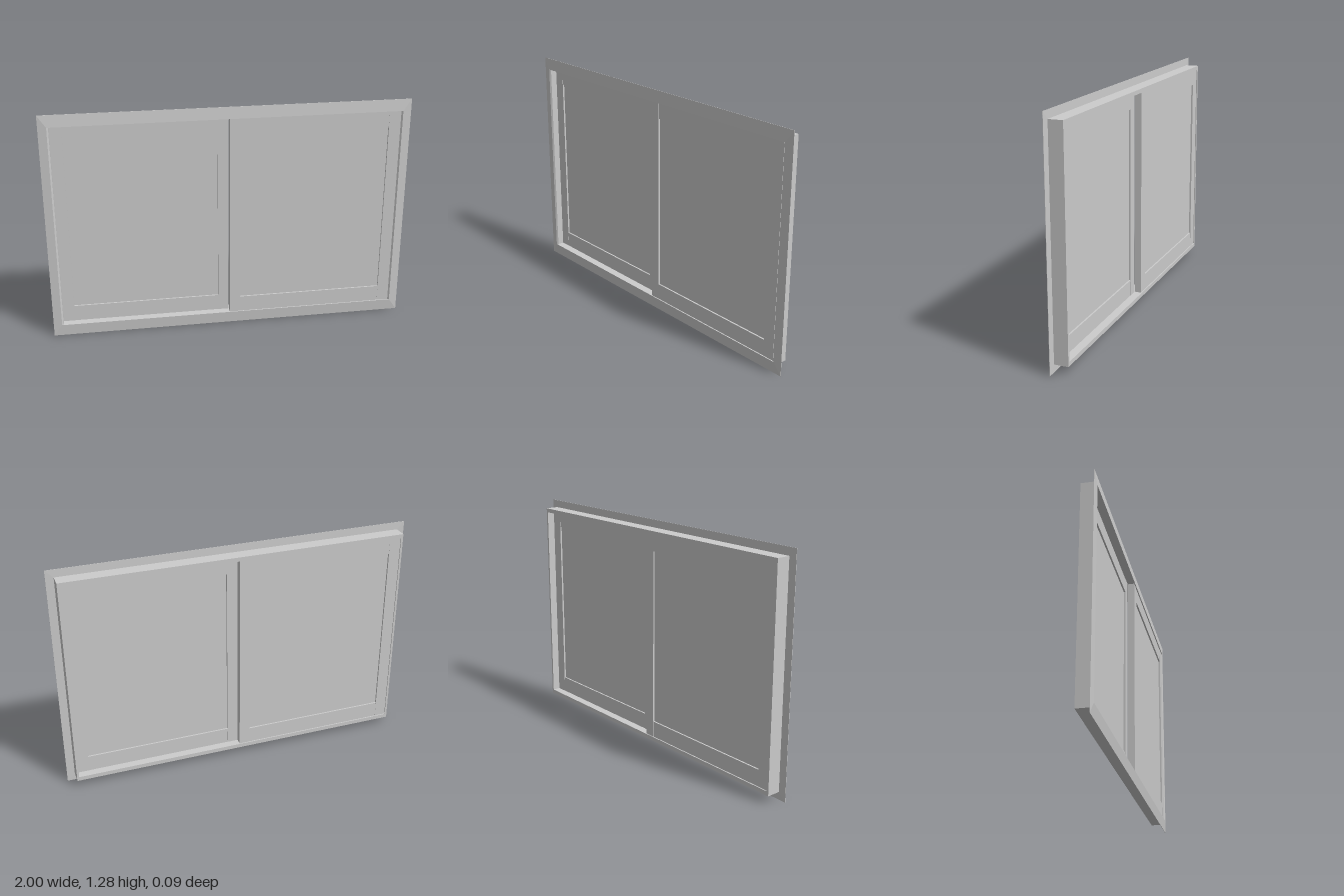
import * as THREE from 'three';

const MID_Y = 0.6425;
const grey = new THREE.MeshStandardMaterial({ color: 0xcccccc, flatShading: true, side: THREE.DoubleSide });

// Sweeps a closed profile of [half width, half height, z] around a mitred rectangle.
function mitredRing(profile) {
  const corners = [[1, 1], [-1, 1], [-1, -1], [1, -1]];
  const pos = [];
  for (let c = 0; c < 4; c++) {
    const at = (k, i) => {
      const [sx, sy] = corners[k % 4];
      const [w, h, z] = profile[i % profile.length];
      return [sx * w, sy * h, z];
    };
    for (let i = 0; i < profile.length; i++) {
      const a = at(c, i), b = at(c + 1, i), d = at(c + 1, i + 1), e = at(c, i + 1);
      pos.push(...a, ...b, ...d, ...a, ...d, ...e);
    }
  }
  const g = new THREE.BufferGeometry();
  g.setAttribute('position', new THREE.Float32BufferAttribute(pos, 3));
  g.computeVertexNormals();
  return g;
}

// Box between two corners, in x, y and z ranges.
function slab(name, [x0, x1], [y0, y1], [z0, z1]) {
  const m = new THREE.Mesh(new THREE.BoxGeometry(x1 - x0, y1 - y0, z1 - z0), grey);
  m.position.set((x0 + x1) / 2, (y0 + y1) / 2, (z0 + z1) / 2);
  m.name = name;
  return m;
}

// One sliding panel on the +x side, in the front track.
function makeSash(name) {
  const sash = new THREE.Group();
  sash.name = name;
  const y = [0.066, 1.219], z = [0.001, 0.038], railZ = [0.002, 0.037];
  sash.add(
    slab('meetingStile', [0, 0.06], y, z),
    slab('outerStile', [0.88, 0.945], y, z),
    slab('bottomRail', [0.06, 0.88], [y[0], 0.157], railZ),
    slab('topRail', [0.06, 0.88], [1.133, y[1]], railZ),
    slab('glass', [0.06, 0.88], [0.157, 1.133], [0.011, 0.028]),
  );
  return sash;
}

export function createModel() {
  const model = new THREE.Group();
  model.name = 'slidingWindow';

  // Outer frame with a thin tapering flange around its front
  const frame = new THREE.Mesh(mitredRing([
    [1, MID_Y, 0.037],
    [0.954, 0.577, 0.043],
    [0.945, 0.577, 0.036],
    [0.945, 0.577, -0.043],
    [0.957, 0.6, -0.043],
    [0.957, 0.6, 0.034],
    [1, MID_Y, 0.035],
  ].reverse()), grey);
  frame.name = 'frame';
  frame.position.y = MID_Y;
  model.add(frame);

  // Front sash, and its twin turned half round into the back track
  const backSash = makeSash('backSash');
  backSash.rotation.y = Math.PI;
  model.add(makeSash('frontSash'), backSash);
  return model;
}
